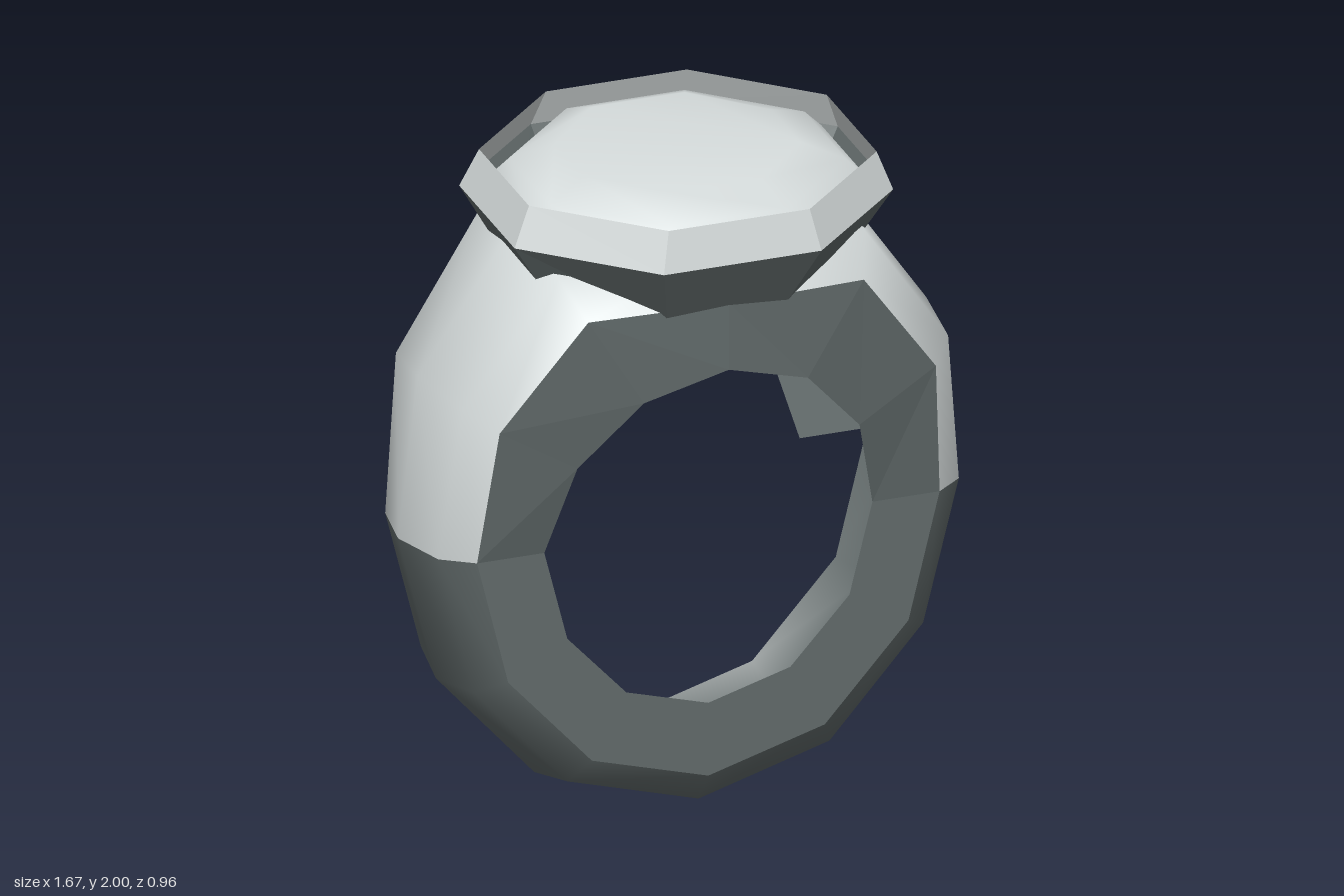
import * as THREE from 'three';

const light = new THREE.MeshStandardMaterial({ color: 0xd4dada, side: THREE.DoubleSide });
light.name = 'polished silver';
const dark = new THREE.MeshStandardMaterial({ color: 0x626b6b, side: THREE.DoubleSide });
dark.name = 'dark steel';

// Skins equal-length rows of points; optional closing of each row and capping of the last.
function loft(rows, { closed = false, cap = false, flat = false } = {}) {
  const n = rows[0].length, index = [];
  for (let r = 0; r < rows.length - 1; r++) {
    for (let i = 0; i < (closed ? n : n - 1); i++) {
      const j = (i + 1) % n, a = r * n + i, b = r * n + j;
      index.push(a, b, a + n, b, b + n, a + n);
    }
  }
  if (cap) {
    const s = (rows.length - 1) * n;
    for (let i = 1; i < n - 1; i++) index.push(s, s + i, s + i + 1);
  }
  let g = new THREE.BufferGeometry();
  g.setAttribute('position', new THREE.Float32BufferAttribute(rows.flat(2), 3));
  g.setIndex(index);
  if (flat) g = g.toNonIndexed();
  g.computeVertexNormals();
  return g;
}

// Octagon with cut corners, running counter-clockwise seen from above, tilted towards the front.
function octagon(hx, hz, cx, cz, y, tilt = 0.11, z0 = 0) {
  const q = [[hx, cz], [hx, -cz], [cx, -hz], [-cx, -hz], [-hx, -cz], [-hx, cz], [-cx, hz], [cx, hz]];
  return q.map(([x, z]) => [x, y - tilt * (z + z0), z + z0]);
}

// Band stations from bottom to top: crest x, y; side edge x, y, half width; hole x, y, half width
const STATIONS = [
  [0, 0, 0, 0.14, 0.262, 0, 0.36, 0.262],
  [0.42, 0.12, 0.355, 0.24, 0.262, 0.25, 0.43, 0.262],
  [0.72, 0.45, 0.61, 0.515, 0.262, 0.43, 0.62, 0.262],
  [0.835, 0.89, 0.705, 0.89, 0.262, 0.5, 0.89, 0.262],
  [0.775, 1.37, 0.665, 1.3, 0.33, 0.43, 1.16, 0.335],
  [0.49, 1.77, 0.42, 1.62, 0.39, 0.25, 1.35, 0.39],
  [0, 1.8, 0, 1.62, 0.41, 0, 1.42, 0.41],
];
const MID_Z = -0.03;

// Station k of twelve around the ring, mirrored on the second half
function station(k) {
  k = ((k % 12) + 12) % 12;
  const m = k <= 6 ? 1 : -1;
  const [ox, oy, ex, ey, ew, ix, iy, iw] = STATIONS[k <= 6 ? k : 12 - k];
  return { ox: m * ox, oy, ex: m * ex, ey, ew, ix: m * ix, iy, iw };
}

const range = (a, b) => Array.from({ length: b - a + 1 }, (_, i) => station(a + i));

// Rounded outer skin of the band
function bandSkin(a, b) {
  return loft(range(a, b).map((s) =>
    [[1, 0], [0.73, 0.68], [0, 1], [-0.73, 0.68], [-1, 0]].map(([w, t]) => [
      THREE.MathUtils.lerp(s.ex, s.ox, t),
      THREE.MathUtils.lerp(s.ey, s.oy, t),
      MID_Z + w * s.ew,
    ])));
}

// Side plate between the finger hole and the edge of the skin
function sidePlate(a, b, side) {
  const list = range(a, b);
  const inner = list.map((s) => [s.ix, s.iy, MID_Z + side * s.iw]);
  const outer = list.map((s) => [s.ex, s.ey, MID_Z + side * s.ew]);
  return loft(side > 0 ? [outer, inner] : [inner, outer], { flat: true });
}

export function createModel() {
  const group = new THREE.Group();
  const add = (name, geometry, material) => {
    const mesh = new THREE.Mesh(geometry, material);
    mesh.name = name;
    group.add(mesh);
  };

  // Band: dark lower half, polished shoulders, hollow inside
  add('lowerBand', bandSkin(-3, 3), dark);
  add('shoulders', bandSkin(3, 9), light);
  add('frontPlate', sidePlate(0, 12, 1), dark);
  add('backPlate', sidePlate(3, 9, -1), dark);

  // Bezel: tapered cup under a thin tilted rim
  const rimBottom = octagon(0.577, 0.48, 0.24, 0.2, 1.832);
  const rimTop = octagon(0.53, 0.443, 0.215, 0.18, 1.95, 0.11, 0.012);
  const cupBottom = octagon(0.43, 0.36, 0.18, 0.15, 1.59, 0.02);
  add('bezelCup', loft([cupBottom, rimBottom], { closed: true, flat: true }), dark);
  add('bezelFloor', loft([cupBottom], { cap: true, flat: true }), dark);
  add('bezelRim', loft([rimBottom, rimTop], { closed: true, flat: true }), light);

  // Stone: sloped crown with a flat table
  const girdle = octagon(0.51, 0.425, 0.2, 0.17, 1.865, 0.11, 0.01);
  const shoulder = octagon(0.45, 0.375, 0.18, 0.15, 1.925, 0.11, 0.01);
  const table = octagon(0.33, 0.28, 0.14, 0.105, 1.972, 0.1, 0.01);
  add('stone', loft([girdle, shoulder, table], { closed: true, cap: true }), light);

  return group;
}
